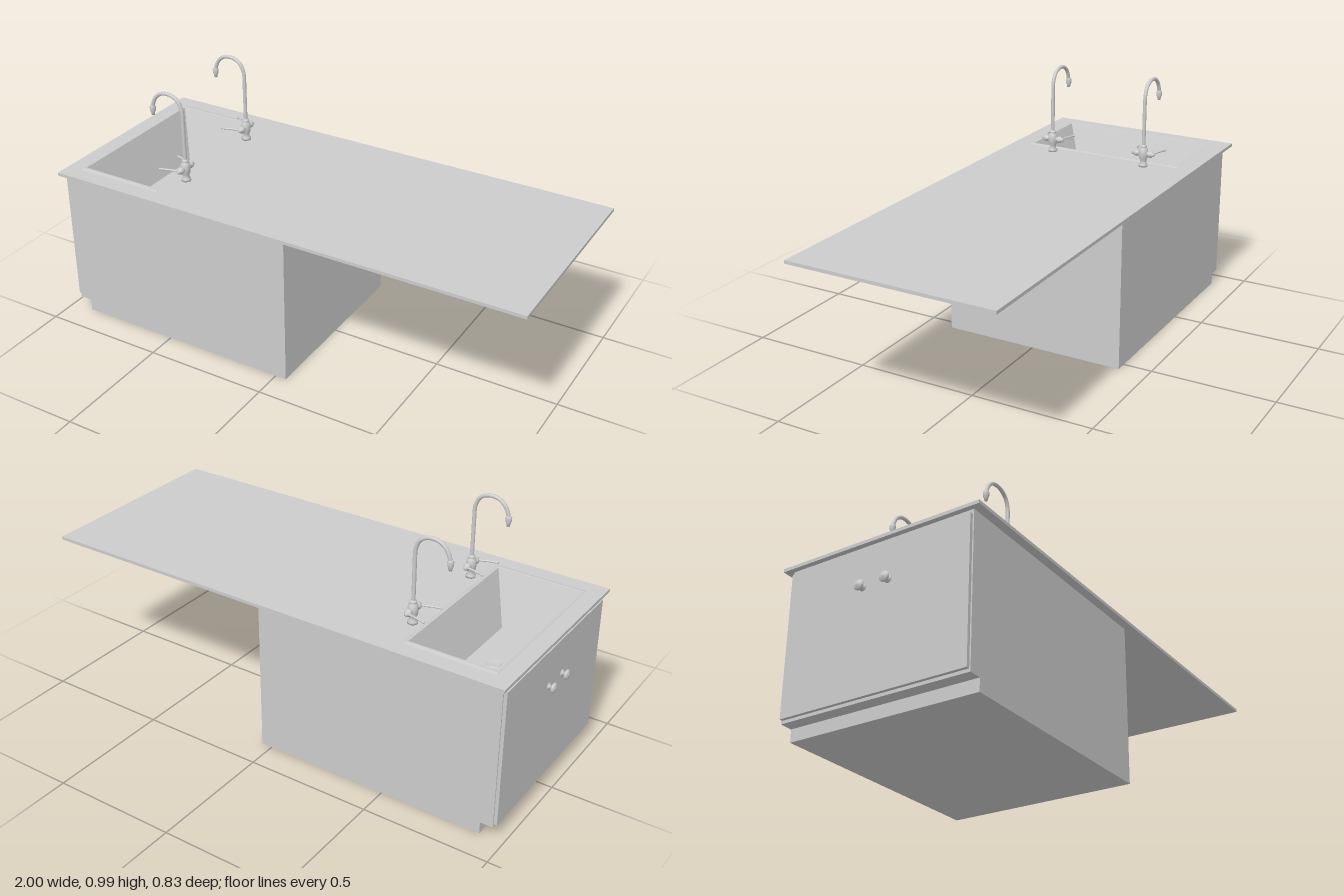
import * as THREE from 'three';

const mat = new THREE.MeshStandardMaterial({ color: 0xcccccc });
const sheet = new THREE.MeshStandardMaterial({ color: 0xcccccc, side: THREE.DoubleSide, flatShading: true });
const V = (x, y, z) => new THREE.Vector3(x, y, z);

function add(parent, name, geometry, x = 0, y = 0, z = 0, material = mat) {
  const mesh = new THREE.Mesh(geometry, material);
  mesh.name = name;
  mesh.position.set(x, y, z);
  parent.add(mesh);
  return mesh;
}

// Box given by its limits
function block(parent, name, x0, x1, y0, y1, z0, z1) {
  return add(parent, name, new THREE.BoxGeometry(x1 - x0, y1 - y0, z1 - z0),
    (x0 + x1) / 2, (y0 + y1) / 2, (z0 + z1) / 2);
}

function lathe(points, segments = 20) {
  return new THREE.LatheGeometry(points.map(p => new THREE.Vector2(...p)), segments);
}

function tube(points, radius, segments = 24) {
  return new THREE.TubeGeometry(new THREE.CatmullRomCurve3(points), segments, radius, 10);
}

function polygon(Type, points) {
  return new Type(points.map(p => new THREE.Vector2(...p)));
}

// Rectangular rings [x0, x1, half z, y] joined into a skin, last ring capped
function rectSkin(rings) {
  const pos = [], idx = [];
  for (const [x0, x1, z, y] of rings) pos.push(x0, y, -z, x0, y, z, x1, y, z, x1, y, -z);
  for (let r = 0; r < rings.length - 1; r++) {
    for (let i = 0; i < 4; i++) {
      const a = r * 4 + i, b = r * 4 + (i + 1) % 4;
      idx.push(a, b, b + 4, a, b + 4, a + 4);
    }
  }
  const c = (rings.length - 1) * 4;
  idx.push(c, c + 1, c + 2, c, c + 2, c + 3);
  const g = new THREE.BufferGeometry();
  g.setAttribute('position', new THREE.Float32BufferAttribute(pos, 3));
  g.setIndex(idx);
  const flat = g.toNonIndexed();
  flat.computeVertexNormals();
  return flat;
}

function makeCabinet() {
  const g = new THREE.Group();
  g.name = 'cabinet';
  // Side panels with the toe-kick notch
  const side = new THREE.ExtrudeGeometry(polygon(THREE.Shape, [
    [-0.905, 0], [0.045, 0], [0.045, 0.625], [-0.955, 0.625], [-0.955, 0.048], [-0.905, 0.048],
  ]), { depth: 0.014, bevelEnabled: false });
  add(g, 'sidePanel', side, 0, 0, 0.368);
  add(g, 'sidePanel', side, 0, 0, -0.382);
  block(g, 'innerEndPanel', 0.031, 0.045, 0, 0.625, -0.368, 0.368);
  block(g, 'bottomPanel', -0.905, 0.031, 0, 0.014, -0.368, 0.368);
  block(g, 'toeKick', -0.905, -0.891, 0.014, 0.062, -0.368, 0.368);
  block(g, 'frontLedge', -0.955, -0.905, 0.048, 0.062, -0.368, 0.368);
  block(g, 'frontFrame', -0.955, -0.941, 0.062, 0.625, -0.368, 0.368);
  // Pair of doors with round knobs
  for (const s of [-1, 1]) {
    block(g, 'door', -0.968, -0.955, 0.06, 0.607, Math.min(0, s * 0.377), Math.max(0, s * 0.377));
    const knob = add(g, 'doorKnob', lathe([
      [0, 0], [0.014, 0], [0.014, 0.004], [0.007, 0.007], [0.007, 0.013],
      [0.018, 0.018], [0.02, 0.023], [0.015, 0.029], [0, 0.032],
    ]), -0.968, 0.46, s * 0.053);
    knob.rotation.z = Math.PI / 2;
  }
  return g;
}

function makeFaucet() {
  const g = new THREE.Group();
  g.name = 'faucet';
  add(g, 'faucetBody', lathe([
    [0, 0], [0.019, 0], [0.019, 0.009], [0.013, 0.014], [0.013, 0.028], [0.018, 0.035],
    [0.02, 0.055], [0.018, 0.073], [0.011, 0.078], [0.013, 0.082], [0.013, 0.088], [0.007, 0.092],
  ]));
  // Gooseneck spout with its nozzle
  const neck = new THREE.CurvePath();
  neck.add(new THREE.LineCurve3(V(0, 0.08, 0), V(0, 0.275, 0)));
  neck.add(new THREE.CatmullRomCurve3([
    V(0, 0.275, 0), V(-0.003, 0.297, 0), V(-0.018, 0.328, 0), V(-0.043, 0.344, 0), V(-0.07, 0.348, 0),
    V(-0.098, 0.342, 0), V(-0.122, 0.322, 0), V(-0.135, 0.295, 0), V(-0.138, 0.28, 0),
  ]));
  add(g, 'spout', new THREE.TubeGeometry(neck, 72, 0.0075, 12));
  add(g, 'nozzle', lathe([
    [0, 0], [0.006, 0], [0.008, 0.012], [0.011, 0.018], [0.012, 0.034], [0.008, 0.04], [0, 0.04],
  ]), -0.139, 0.247, 0);
  // Valves with lever handles on both sides
  for (const s of [-1, 1]) {
    const valve = add(g, 'valve', lathe([
      [0.01, 0], [0.01, 0.024], [0.014, 0.026], [0.014, 0.036], [0.009, 0.04],
      [0.009, 0.046], [0.005, 0.05], [0, 0.051],
    ]), 0, 0.054, 0);
    valve.rotation.x = s * Math.PI / 2;
    add(g, 'lever', tube([
      V(0.008, 0.054, s * 0.042), V(-0.02, 0.055, s * 0.043),
      V(-0.05, 0.056, s * 0.053), V(-0.078, 0.055, s * 0.06),
    ], 0.004));
    add(g, 'leverTip', new THREE.SphereGeometry(0.005, 10, 8), -0.078, 0.055, s * 0.06);
  }
  return g;
}

export function createModel() {
  const model = new THREE.Group();
  model.name = 'kitchenIsland';
  model.add(makeCabinet());

  // Overhanging worktop with the sink opening
  const top = polygon(THREE.Shape, [[-0.975, -0.415], [1, -0.415], [1, 0.415], [-0.975, 0.415]]);
  top.holes.push(polygon(THREE.Path, [[-0.905, -0.33], [-0.905, 0.33], [-0.56, 0.33], [-0.56, -0.33]]));
  const slab = new THREE.ExtrudeGeometry(top, { depth: 0.013, bevelEnabled: false });
  slab.rotateX(-Math.PI / 2);
  add(model, 'worktop', slab, 0, 0.625, 0);

  // Tapered basin with a low raised rim
  add(model, 'sinkBasin', rectSkin([
    [-0.913, -0.543, 0.35, 0.6385],
    [-0.908, -0.555, 0.336, 0.642],
    [-0.902, -0.56, 0.328, 0.641],
    [-0.83, -0.632, 0.247, 0.44],
  ]), 0, 0, 0, sheet);
  add(model, 'drain', lathe([[0.028, 0], [0.026, 0.003], [0.02, 0.002], [0, 0.001]].reverse(), 24),
    -0.73, 0.44, 0, sheet);

  for (const z of [-0.21, 0.21]) {
    const faucet = makeFaucet();
    faucet.position.set(-0.505, 0.638, z);
    model.add(faucet);
  }
  return model;
}
